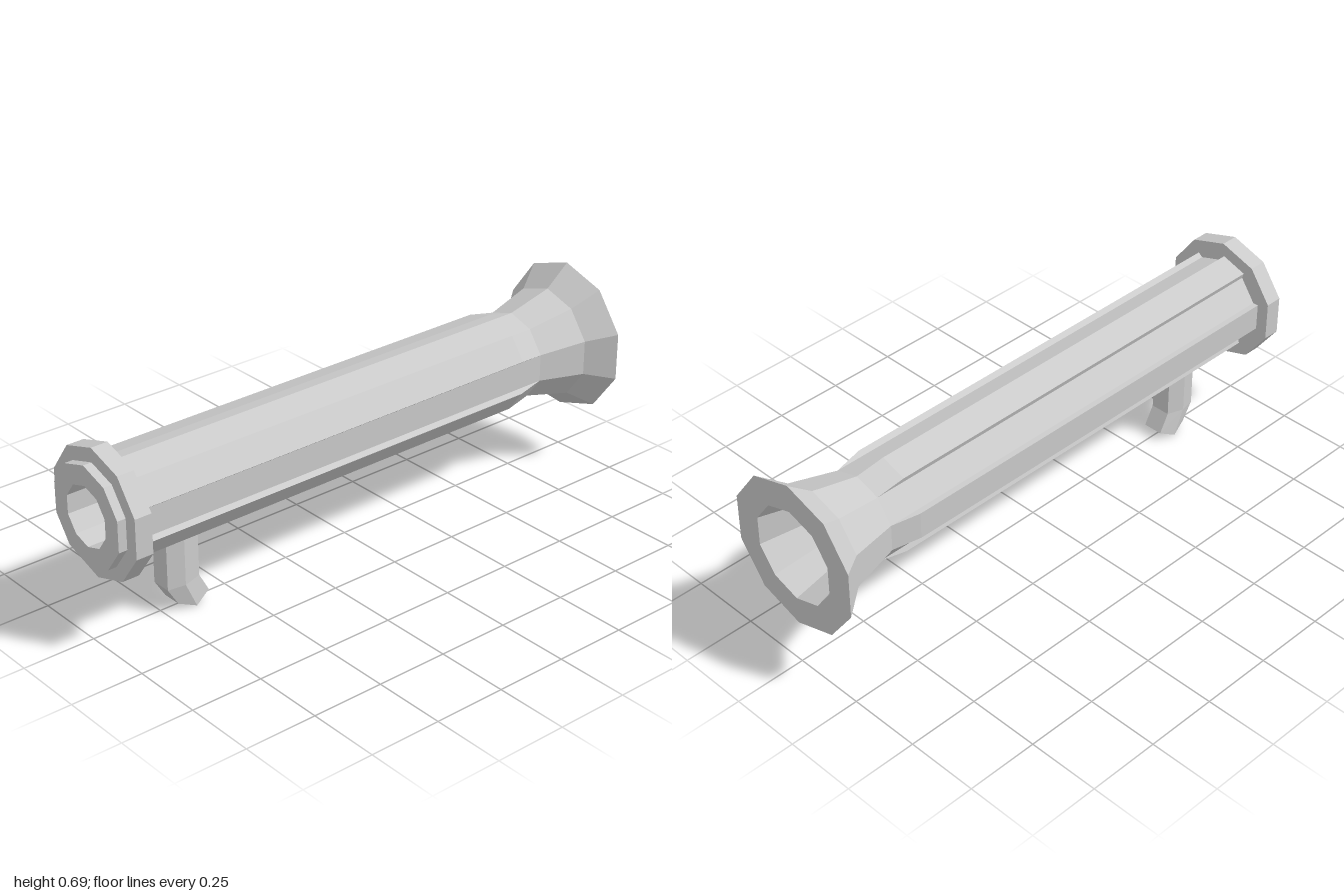
import * as THREE from 'three';

const SIDES = 10, AXIS_Y = 0.425, BODY_R = 0.153;

// Closed solid through a list of equal-length cross-sections, capped at both ends
function loft(sections) {
  const n = sections[0].length, index = [];
  for (let s = 0; s < sections.length - 1; s++) {
    for (let i = 0; i < n; i++) {
      const j = (i + 1) % n, a = s * n + i, b = s * n + j;
      index.push(a, b, b + n, a, b + n, a + n);
    }
  }
  const top = (sections.length - 1) * n;
  for (let i = 1; i < n - 1; i++) {
    index.push(0, i + 1, i, top, top + i, top + i + 1);
  }
  const geometry = new THREE.BufferGeometry();
  geometry.setAttribute('position', new THREE.Float32BufferAttribute(sections.flat(2), 3));
  geometry.setIndex(index);
  geometry.computeVertexNormals();
  return geometry;
}

// Raised panel on one face of the tube, sloping to flush at the neck
function panelGeometry(a0) {
  const a1 = a0 + (2 * Math.PI) / SIDES, mid = (a0 + a1) / 2;
  const section = (z, height) => [[a0, -0.01], [a0, height], [a1, height], [a1, -0.01]].map(([a, h]) => [
    BODY_R * Math.cos(a) + h * Math.cos(mid),
    BODY_R * Math.sin(a) + h * Math.sin(mid),
    z,
  ]);
  return loft([section(-0.74, 0), section(-0.64, 0.02), section(0.93, 0.02)]);
}

// Six-sided grip section: [z, y] of its back, middle and front edges
function gripSection([back, mid, front]) {
  const at = (x, [z, y]) => [x, y, z];
  return [at(0.05, mid), at(0.035, back), at(-0.035, back),
    at(-0.05, mid), at(-0.035, front), at(0.035, front)];
}

export function createModel() {
  const group = new THREE.Group();
  const material = new THREE.MeshStandardMaterial({ color: 0xcccccc, flatShading: true });
  const add = (name, geometry, parent = group) => {
    const mesh = new THREE.Mesh(geometry, material);
    mesh.name = name;
    parent.add(mesh);
    return mesh;
  };

  // Hollow tube: flared rear, straight body, collar, front lip, then the bore
  const profile = [
    [0.168, -1], [0.266, -1], [0.195, -0.91], [BODY_R, -0.74], [BODY_R, 0.91],
    [0.219, 0.91], [0.219, 0.97], [0.171, 0.97], [0.171, 1], [0.103, 1],
    [0.103, -0.74], [0.168, -1],
  ].map(([r, z]) => new THREE.Vector2(r, z));
  const tube = add('tube', new THREE.LatheGeometry(profile, SIDES).rotateX(Math.PI / 2));
  tube.position.y = AXIS_Y;

  // Raised panels on every other face
  const panels = new THREE.Group();
  panels.name = 'raisedPanels';
  panels.position.y = AXIS_Y;
  group.add(panels);
  for (let i = 0; i < SIDES / 2; i++) {
    add('raisedPanel', panelGeometry(THREE.MathUtils.degToRad(18 + 72 * i)), panels);
  }

  // Grip, bent backward at its lower end
  add('grip', loft([
    [[0.587, 0.03], [0.645, 0], [0.705, 0.023]],
    [[0.622, 0.095], [0.685, 0.09], [0.743, 0.085]],
    [[0.622, 0.29], [0.685, 0.29], [0.743, 0.29]],
  ].map(gripSection)));

  return group;
}
